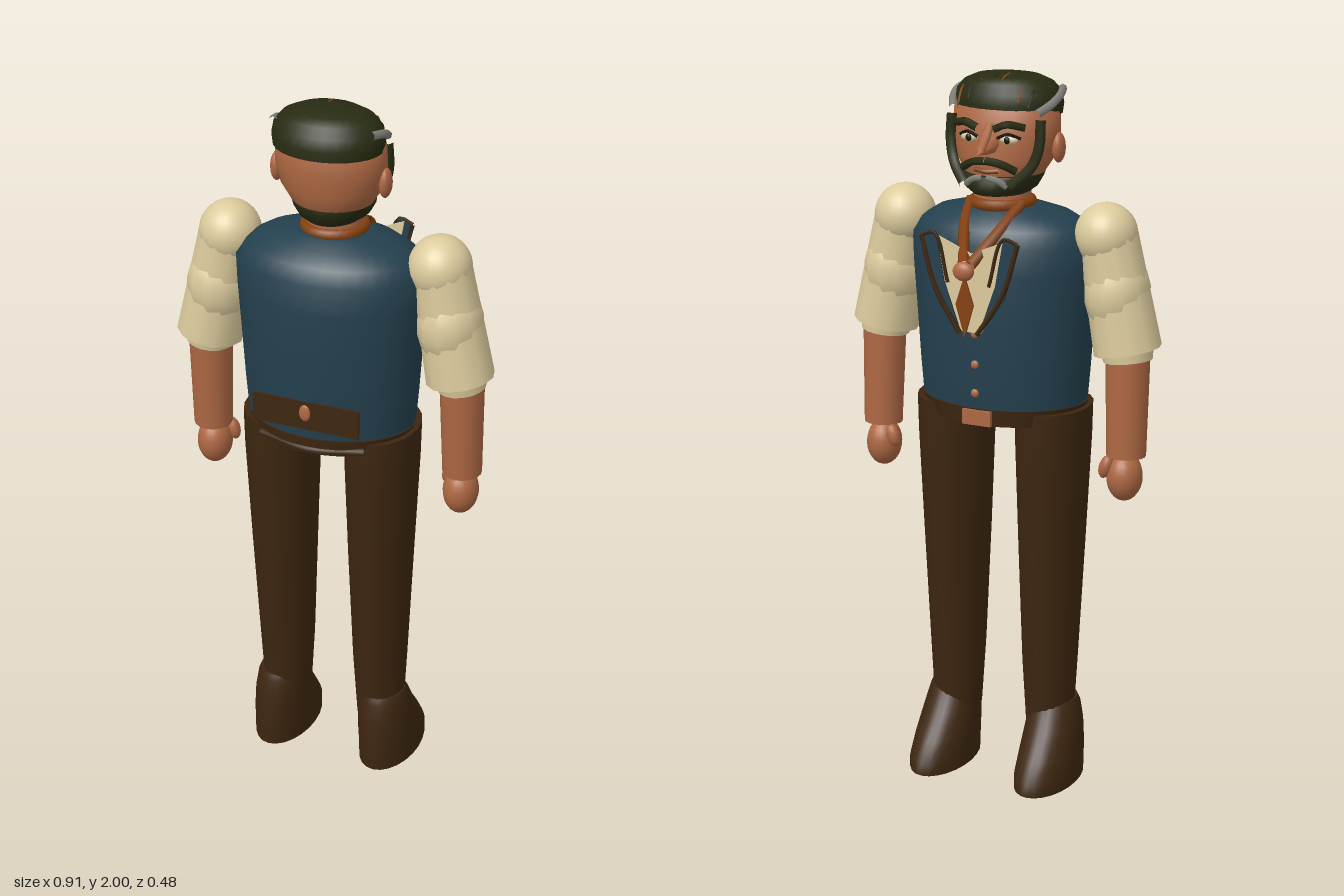
import * as THREE from 'three';

const mat = (name, color, side = THREE.FrontSide) => {
  const m = new THREE.MeshStandardMaterial({ color, side });
  m.name = name;
  return m;
};

// Stack of elliptical rings [y, cx, cz, rx, rz], smooth sides and flat caps
function loft(rings, n = 28) {
  const pos = [], idx = [];
  const addRing = ([y, cx, cz, rx, rz]) => {
    const start = pos.length / 3;
    for (let j = 0; j < n; j++) {
      const t = (j / n) * Math.PI * 2;
      pos.push(cx + rx * Math.cos(t), y, cz + rz * Math.sin(t));
    }
    return start;
  };
  const starts = rings.map(addRing);
  for (let i = 0; i < rings.length - 1; i++) {
    for (let j = 0; j < n; j++) {
      const k = (j + 1) % n, a = starts[i], c = starts[i + 1];
      idx.push(a + j, c + j, a + k, a + k, c + j, c + k);
    }
  }
  for (const top of [false, true]) {
    const r = top ? rings[rings.length - 1] : rings[0];
    const s = addRing(r), m = pos.length / 3;
    pos.push(r[1], r[0], r[2]);
    for (let j = 0; j < n; j++) {
      const k = (j + 1) % n;
      if (top) idx.push(m, s + k, s + j);
      else idx.push(m, s + j, s + k);
    }
  }
  const g = new THREE.BufferGeometry();
  g.setAttribute('position', new THREE.Float32BufferAttribute(pos, 3));
  g.setIndex(idx);
  g.computeVertexNormals();
  return g;
}

export function createModel() {
  const root = new THREE.Group();
  root.name = 'figure';
  const vest = mat('vest blue', 0x24404e, THREE.DoubleSide);
  const brown = mat('trouser brown', 0x3d2610);
  const skin = mat('skin', 0xae6843);
  const cream = mat('shirt cream', 0xdccb9d, THREE.DoubleSide);
  const hair = mat('hair', 0x282b12);
  const rust = mat('tie rust', 0x84400f, THREE.DoubleSide);
  const grey = mat('grey hair', 0x807f78);
  const dark = mat('dark iris', 0x15120c);

  const add = (name, geo, m, parent = root) => {
    const mesh = new THREE.Mesh(geo, m);
    mesh.name = name;
    parent.add(mesh);
    return mesh;
  };
  const ball = (name, m, p, r, parent = root, seg = 20) => {
    const mesh = add(name, new THREE.SphereGeometry(1, seg, Math.ceil(seg * 0.7)), m, parent);
    mesh.position.set(...p);
    mesh.scale.set(...r);
    return mesh;
  };
  const tube = (name, m, pts, r, parent = root) => {
    const curve = new THREE.CatmullRomCurve3(pts.map((p) => new THREE.Vector3(...p)));
    return add(name, new THREE.TubeGeometry(curve, 12, r, 6), m, parent);
  };
  const limb = (name, m, a, b, ra, rb, parent = root, seg = 16) => {
    const A = new THREE.Vector3(...a), B = new THREE.Vector3(...b), d = A.clone().sub(B);
    const mesh = add(name, new THREE.CylinderGeometry(ra, rb, d.length(), seg, 3), m, parent);
    mesh.position.copy(A).add(B).multiplyScalar(0.5);
    mesh.quaternion.setFromUnitVectors(new THREE.Vector3(0, 1, 0), d.normalize());
    return mesh;
  };
  const plate = (name, m, pts, z, parent = root) => {
    const shape = new THREE.Shape(pts.map((p) => new THREE.Vector2(...p)));
    const geo = new THREE.ExtrudeGeometry(shape, { depth: 0.005, bevelEnabled: false });
    geo.translate(0, 0, z);
    return add(name, geo, m, parent);
  };

  // Torso and waist
  add('vest', loft([
    [1.1, 0, 0.04, 0.235, 0.178], [1.2, 0, 0.04, 0.243, 0.186], [1.35, 0, 0.04, 0.253, 0.19],
    [1.48, 0, 0.04, 0.263, 0.19], [1.56, 0, 0.04, 0.268, 0.178], [1.6, 0, 0.038, 0.24, 0.158],
    [1.63, 0, 0.035, 0.19, 0.125], [1.65, 0, 0.03, 0.11, 0.085],
  ], 36), vest);
  add('waistband', loft([[1.065, 0, 0.04, 0.22, 0.178], [1.112, 0, 0.04, 0.24, 0.182]], 36), brown);
  add('buckle', new THREE.BoxGeometry(0.085, 0.042, 0.012), skin).position.set(0, 1.088, -0.143);
  add('backPatch', new THREE.BoxGeometry(0.305, 0.082, 0.006), brown).position.set(0, 1.183, 0.225);
  ball('backPatchButton', skin, [0, 1.193, 0.232], [0.016, 0.024, 0.006]);
  tube('backBeltStrip', brown, [[-0.15, 1.08, 0.18], [0, 1.078, 0.215], [0.15, 1.08, 0.18]], 0.01);
  [1.16, 1.24, 1.325].forEach((y) => ball('vestButton', skin, [0, y, -0.155], [0.012, 0.012, 0.007], root, 10));

  // Shirt front, lapels and tie
  plate('shirtFront', cream, [[-0.12, 1.6], [-0.095, 1.45], [-0.03, 1.335], [0.03, 1.335],
    [0.095, 1.45], [0.12, 1.6], [0, 1.55]], -0.178);
  for (const s of [1, -1]) {
    const side = new THREE.Group();
    side.name = s > 0 ? 'leftLapel' : 'rightLapel';
    root.add(side);
    plate('lapel', vest, [[s * 0.145, 1.585], [s * 0.1, 1.605], [s * 0.075, 1.47], [s * 0.025, 1.33], [s * 0.1, 1.43]], -0.187, side);
    tube('lapelTrim', brown, [[s * 0.14, 1.59, -0.186], [s * 0.098, 1.45, -0.19], [s * 0.025, 1.335, -0.194]], 0.007, side);
    tube('lapelEdge', brown, [[s * 0.142, 1.588, -0.187], [s * 0.1, 1.6, -0.19], [s * 0.06, 1.47, -0.194]], 0.005, side);
    tube('neckStrap', rust, [[s * 0.075, 1.66, -0.02], [s * 0.055, 1.61, -0.1], [s * 0.01, 1.525, -0.2]], 0.016, side);
  }
  plate('tieTail', rust, [[0, 1.5], [-0.026, 1.42], [0, 1.33], [0.026, 1.42]], -0.217);
  ball('tieKnot', skin, [0, 1.512, -0.222], [0.03, 0.026, 0.018]);
  const band = add('neckBand', new THREE.TorusGeometry(0.077, 0.017, 8, 28), rust);
  band.rotation.x = Math.PI / 2;
  band.position.set(0, 1.655, 0.02);

  // Mirrored limbs
  for (const s of [1, -1]) {
    const leg = new THREE.Group();
    leg.name = s > 0 ? 'leftLeg' : 'rightLeg';
    root.add(leg);
    add('trouserLeg', loft([
      [0.16, s * 0.145, 0.03, 0.067, 0.075], [0.35, s * 0.144, 0.032, 0.077, 0.09],
      [0.7, s * 0.146, 0.036, 0.089, 0.118], [1.0, s * 0.148, 0.038, 0.1, 0.135],
      [1.1, s * 0.149, 0.038, 0.101, 0.137],
    ], 20), brown, leg);
    add('shoe', loft([
      [0, s * 0.165, -0.018, 0.084, 0.156], [0.035, s * 0.165, -0.017, 0.084, 0.157],
      [0.09, s * 0.164, 0.003, 0.082, 0.137], [0.16, s * 0.161, 0.027, 0.077, 0.105],
      [0.21, s * 0.158, 0.037, 0.07, 0.085], [0.23, s * 0.157, 0.038, 0.062, 0.074],
    ], 24), brown, leg);

    const arm = new THREE.Group();
    arm.name = s > 0 ? 'leftArm' : 'rightArm';
    root.add(arm);
    ball('shoulder', cream, [s * 0.3, 1.588, 0.03], [0.085, 0.087, 0.087], arm, 24);
    limb('sleeve', cream, [s * 0.302, 1.6, 0.032], [s * 0.365, 1.277, 0.034], 0.08, 0.093, arm, 12);
    ball('sleeveFold', cream, [s * 0.333, 1.43, 0.034], [0.089, 0.12, 0.096], arm, 12);
    limb('cuff', cream, [s * 0.363, 1.29, 0.032], [s * 0.368, 1.25, 0.03], 0.072, 0.067, arm);
    limb('forearm', skin, [s * 0.368, 1.28, 0.028], [s * 0.372, 0.985, 0.018], 0.061, 0.054, arm);
    ball('hand', skin, [s * 0.369, 0.925, 0.016], [0.049, 0.068, 0.055], arm);
    const thumb = ball('thumb', skin, [s * 0.325, 0.955, -0.012], [0.019, 0.034, 0.02], arm, 12);
    thumb.rotation.z = s * -0.3;
  }

  // Head
  const head = new THREE.Group();
  head.name = 'head';
  root.add(head);
  limb('neck', skin, [0, 1.73, 0.02], [0, 1.6, 0.02], 0.076, 0.08, head, 24);
  add('skull', loft([
    [1.7, 0, 0.03, 0.085, 0.085], [1.74, 0, 0.034, 0.112, 0.104], [1.78, 0, 0.04, 0.138, 0.111],
    [1.84, 0, 0.046, 0.152, 0.113], [1.9, 0, 0.048, 0.15, 0.108], [1.95, 0, 0.05, 0.11, 0.08],
  ]), skin, head);
  add('beard', loft([
    [1.685, 0, 0.016, 0.075, 0.096], [1.7, 0, 0.018, 0.095, 0.112],
    [1.725, 0, 0.022, 0.109, 0.119], [1.737, 0, 0.028, 0.113, 0.112],
  ]), hair, head);
  add('hairCap', loft([
    [1.893, 0, 0.064, 0.148, 0.117], [1.92, 0, 0.064, 0.152, 0.117], [1.95, 0, 0.062, 0.147, 0.112],
    [1.975, 0, 0.06, 0.125, 0.095], [1.99, 0, 0.058, 0.09, 0.07], [1.997, 0, 0.058, 0.04, 0.03],
  ]), hair, head);
  const nose = add('nose', new THREE.ConeGeometry(0.034, 0.085, 8), skin, head);
  nose.rotation.x = -Math.PI / 2 - 0.25;
  nose.position.set(0, 1.815, -0.098);
  tube('noseBridge', skin, [[0, 1.875, -0.06], [0, 1.84, -0.085], [0, 1.81, -0.12]], 0.013, head);

  // Crown strands
  for (let i = 0; i < 8; i++) {
    const x = (i - 3.5) * 0.029, drop = x * x * 2.8;
    tube('hairStrand', i % 2 ? rust : hair, [[x, 1.95 - drop, -0.042], [x * 1.02, 1.988 - drop, -0.01],
      [x * 0.95, 1.996 - drop, 0.035]], 0.0035, head);
  }

  // Mirrored face features
  for (const s of [1, -1]) {
    const face = new THREE.Group();
    face.name = s > 0 ? 'leftFace' : 'rightFace';
    head.add(face);
    ball('ear', skin, [s * 0.152, 1.807, 0.048], [0.017, 0.041, 0.027], face, 14);
    ball('eyeWhite', cream, [s * 0.057, 1.838, -0.062], [0.026, 0.013, 0.013], face, 14);
    ball('iris', dark, [s * 0.056, 1.838, -0.073], [0.009, 0.01, 0.005], face, 10);
    tube('eyelid', dark, [[s * 0.028, 1.842, -0.074], [s * 0.057, 1.854, -0.073], [s * 0.088, 1.842, -0.055]], 0.0045, face);
    tube('eyebrow', hair, [[s * 0.025, 1.868, -0.085], [s * 0.06, 1.882, -0.084], [s * 0.1, 1.872, -0.056]], 0.011, face);
    tube('temple', grey, [[s * 0.135, 1.955, 0.11], [s * 0.148, 1.945, 0.06], [s * 0.143, 1.925, 0.015], [s * 0.122, 1.905, -0.028]], 0.012, face);
    tube('sideburn', hair, [[s * 0.13, 1.89, -0.022], [s * 0.13, 1.82, -0.03], [s * 0.113, 1.765, -0.045], [s * 0.065, 1.715, -0.082]], 0.015, face);
    tube('moustache', hair, [[0, 1.782, -0.088], [s * 0.04, 1.776, -0.084], [s * 0.078, 1.755, -0.062]], 0.011, face);
    tube('chinStreak', grey, [[s * 0.006, 1.738, -0.092], [s * 0.035, 1.732, -0.09], [s * 0.06, 1.715, -0.08]], 0.009, face);
  }
  tube('mouth', rust, [[-0.035, 1.756, -0.078], [0, 1.753, -0.086], [0.035, 1.756, -0.078]], 0.007, head);
  return root;
}
